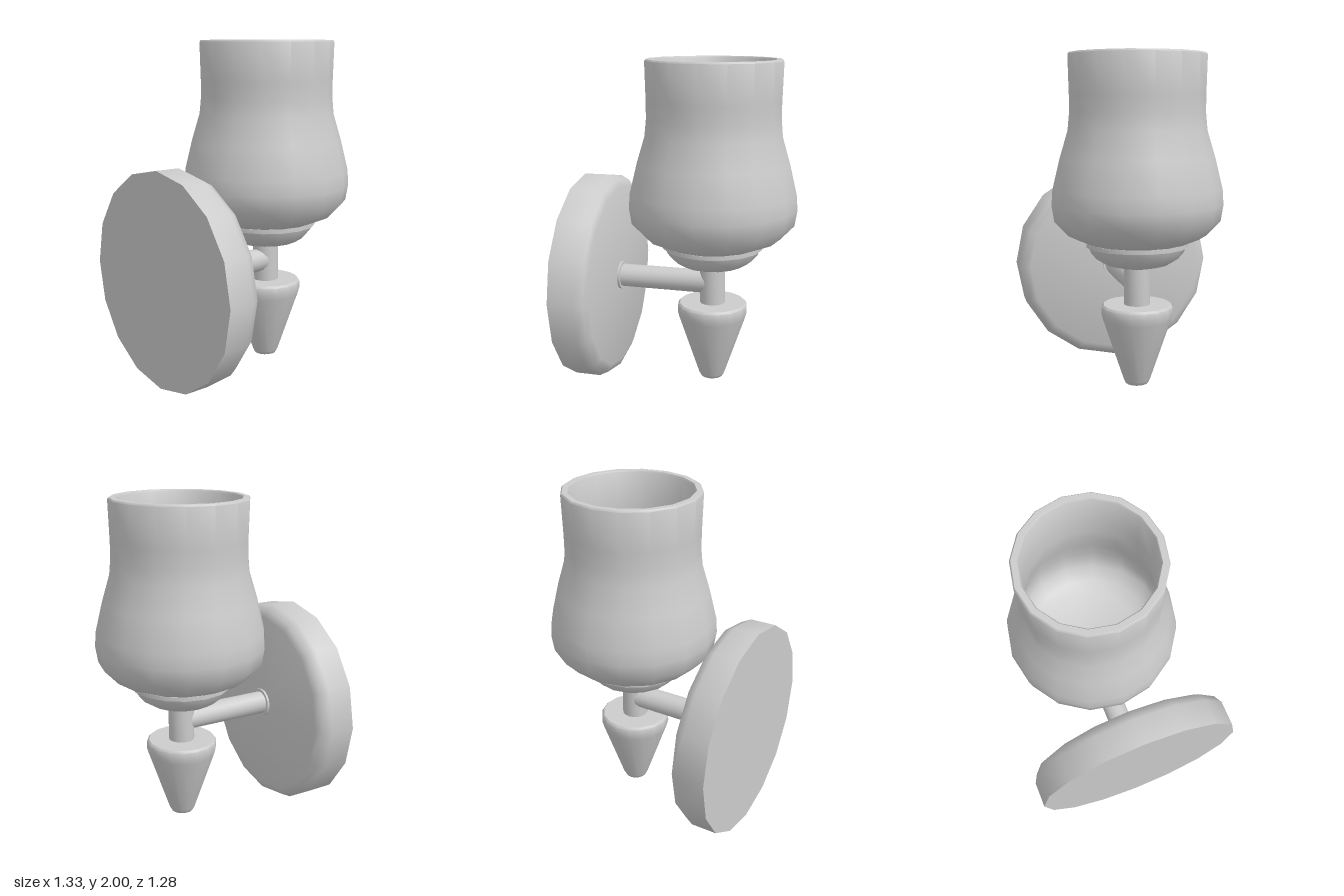
import * as THREE from 'three';
import { toCreasedNormals } from 'three/addons/utils/BufferGeometryUtils.js';

const material = new THREE.MeshStandardMaterial({ color: 0xcccccc });
const LAMP_X = 0.155; // upright axis of the lamp
const ARM_Y = 0.647; // height of the horizontal arm

// Turned part: profile of [radius, height], listed from bottom centre up the outside
function turned(name, profile, sides = 16) {
  const points = profile.map(([r, y]) => new THREE.Vector2(r, y));
  const geometry = toCreasedNormals(new THREE.LatheGeometry(points, sides), 0.75);
  const mesh = new THREE.Mesh(geometry, material);
  mesh.name = name;
  return mesh;
}

export function createModel() {
  const model = new THREE.Group();
  model.name = 'wallLamp';

  // Upright parts around the lamp axis
  const lamp = new THREE.Group();
  lamp.name = 'lamp';
  lamp.position.x = LAMP_X;
  lamp.add(
    // Hollow tulip shade: outside, rim, inside, floor
    turned('shade', [
      [0, 0.9], [0.3, 0.9], [0.41, 0.947], [0.493, 1.035], [0.508, 1.13],
      [0.502, 1.22], [0.458, 1.4], [0.41, 1.56], [0.4, 1.66], [0.4, 1.76],
      [0.406, 1.99], [0.398, 2],
      [0.367, 2], [0.36, 1.99], [0.355, 1.76], [0.355, 1.67], [0.366, 1.57],
      [0.414, 1.4], [0.457, 1.22], [0.463, 1.13], [0.45, 1.055], [0.385, 0.985],
      [0.305, 0.945], [0, 0.945],
    ]),
    // Cup and collar beneath the shade
    turned('collar', [[0, 0.875], [0.305, 0.875], [0.305, 0.901], [0, 0.901]]),
    turned('cup', [
      [0, 0.753], [0.13, 0.755], [0.195, 0.772], [0.245, 0.803],
      [0.277, 0.84], [0.293, 0.877], [0, 0.877],
    ]),
    turned('stem', [[0, 0.5], [0.079, 0.5], [0.079, 0.76], [0, 0.76]]),
    // Tapered finial
    turned('finial', [
      [0, 0.022], [0.05, 0.023], [0.068, 0.03], [0.08, 0.052], [0.207, 0.43],
      [0.217, 0.467], [0.215, 0.508], [0.203, 0.521], [0, 0.521],
    ]),
  );
  model.add(lamp);

  // Horizontal parts, built upright and laid along +x from the wall
  const mount = new THREE.Group();
  mount.name = 'wallMount';
  mount.position.set(-0.665, ARM_Y, 0);
  mount.rotation.z = -Math.PI / 2;
  mount.add(
    turned('backplate', [
      [0, 0], [0.642, 0], [0.642, 0.155], [0.615, 0.207], [0.57, 0.226], [0, 0.226],
    ]),
    turned('armCollar', [[0, 0.22], [0.088, 0.22], [0.088, 0.24], [0, 0.24]]),
    turned('arm', [[0, 0.22], [0.071, 0.22], [0.071, 0.82], [0, 0.82]]),
  );
  model.add(mount);

  return model;
}
